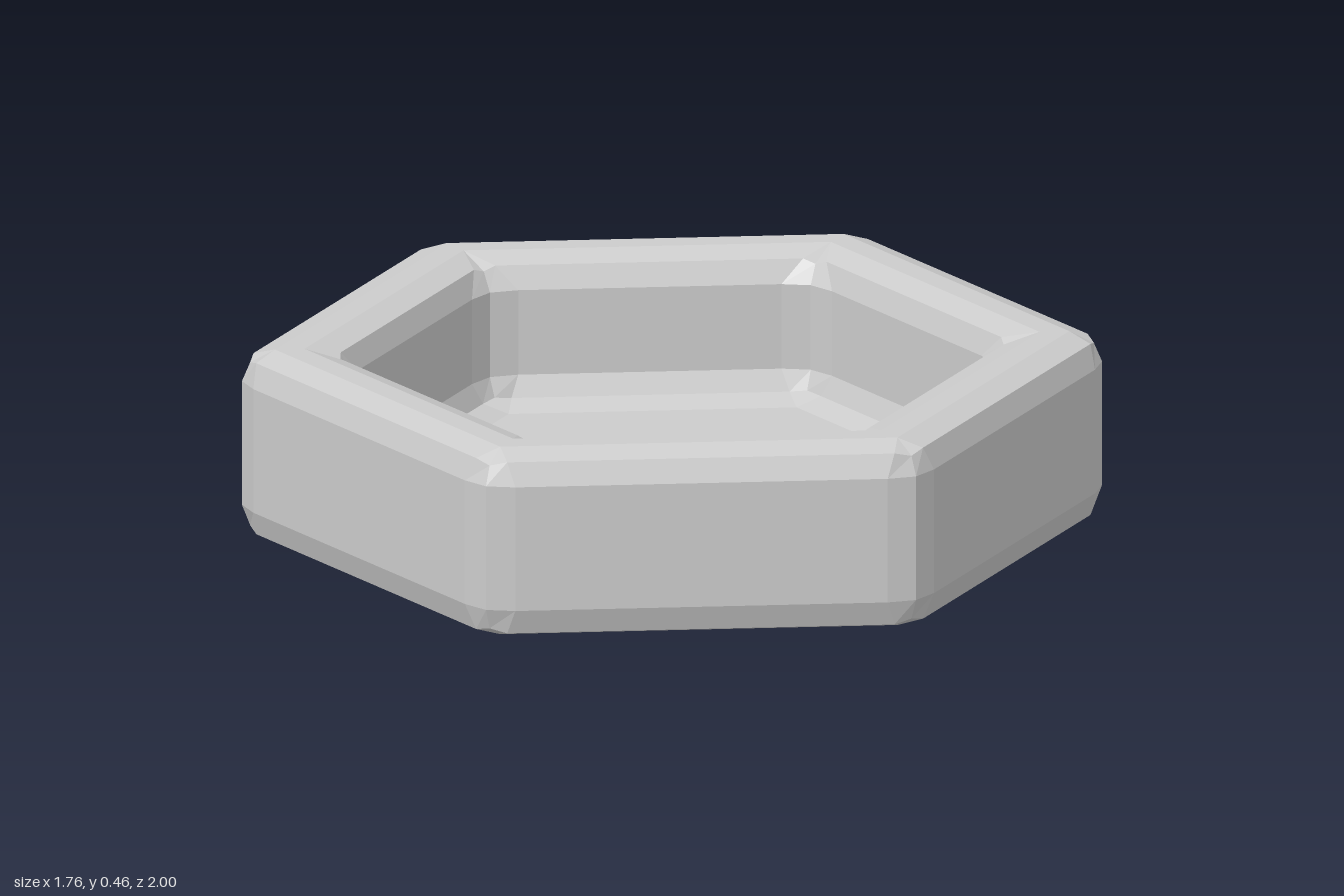
import * as THREE from 'three';

// Cross-section from the underside centre, over the rim, to the floor centre:
// [apothem, y, corner half width, apex inset, apex lift]
const PROFILE = [
  [0, 0, 0, 0, 0],
  [0.80, 0, 0, 0, 0],
  [0.86, 0.02, 0.04, 0.012, 0.01],
  [0.88, 0.08, 0.065, 0.016, 0],
  [0.88, 0.38, 0.065, 0.016, 0],
  [0.86, 0.435, 0.04, 0.012, -0.01],
  [0.80, 0.455, 0, 0, 0],
  [0.74, 0.455, 0, 0, 0],
  [0.68, 0.435, 0.03, 0.014, -0.01],
  [0.66, 0.38, 0.065, 0.016, 0],
  [0.66, 0.175, 0.065, 0.016, 0],
  [0.64, 0.125, 0.04, 0.012, 0.005],
  [0.58, 0.105, 0, 0, 0],
  [0, 0.105, 0, 0, 0],
];

// One hexagonal ring with three points at every bevelled corner
function hexRing([apothem, y, half, inset, lift]) {
  const radius = apothem / Math.cos(Math.PI / 6);
  const side = radius - half * Math.tan(Math.PI / 6);
  const up = new THREE.Vector3(0, 1, 0);
  const ring = [];
  for (let k = 0; k < 6; k++) {
    const corner = [
      new THREE.Vector3(-half, y, side),
      new THREE.Vector3(0, y + lift, radius - inset),
      new THREE.Vector3(half, y, side),
    ];
    corner.forEach((p) => ring.push(p.applyAxisAngle(up, (k * Math.PI) / 3)));
  }
  return ring;
}

// Skin consecutive rings, leaving out collapsed triangles
function loft(rings) {
  const positions = [];
  const addTriangle = (a, b, c) => {
    if (new THREE.Triangle(a, b, c).getArea() < 1e-7) return;
    for (const p of [a, b, c]) positions.push(p.x, p.y, p.z);
  };
  for (let i = 0; i < rings.length - 1; i++) {
    const n = rings[i].length;
    for (let j = 0; j < n; j++) {
      const k = (j + 1) % n;
      const [a, b, c, d] = [rings[i][j], rings[i][k], rings[i + 1][k], rings[i + 1][j]];
      addTriangle(a, b, c);
      addTriangle(a, c, d);
    }
  }
  const geometry = new THREE.BufferGeometry();
  geometry.setAttribute('position', new THREE.Float32BufferAttribute(positions, 3));
  geometry.computeVertexNormals();
  return geometry;
}

export function createModel() {
  const group = new THREE.Group();
  group.name = 'hexagonalTray';

  // Bevelled tray: outer wall, rim, inner wall and floor in one closed skin
  const tray = new THREE.Mesh(
    loft(PROFILE.map(hexRing)),
    new THREE.MeshStandardMaterial({ color: 0xcccccc, flatShading: true })
  );
  tray.name = 'trayBody';
  group.add(tray);
  return group;
}
